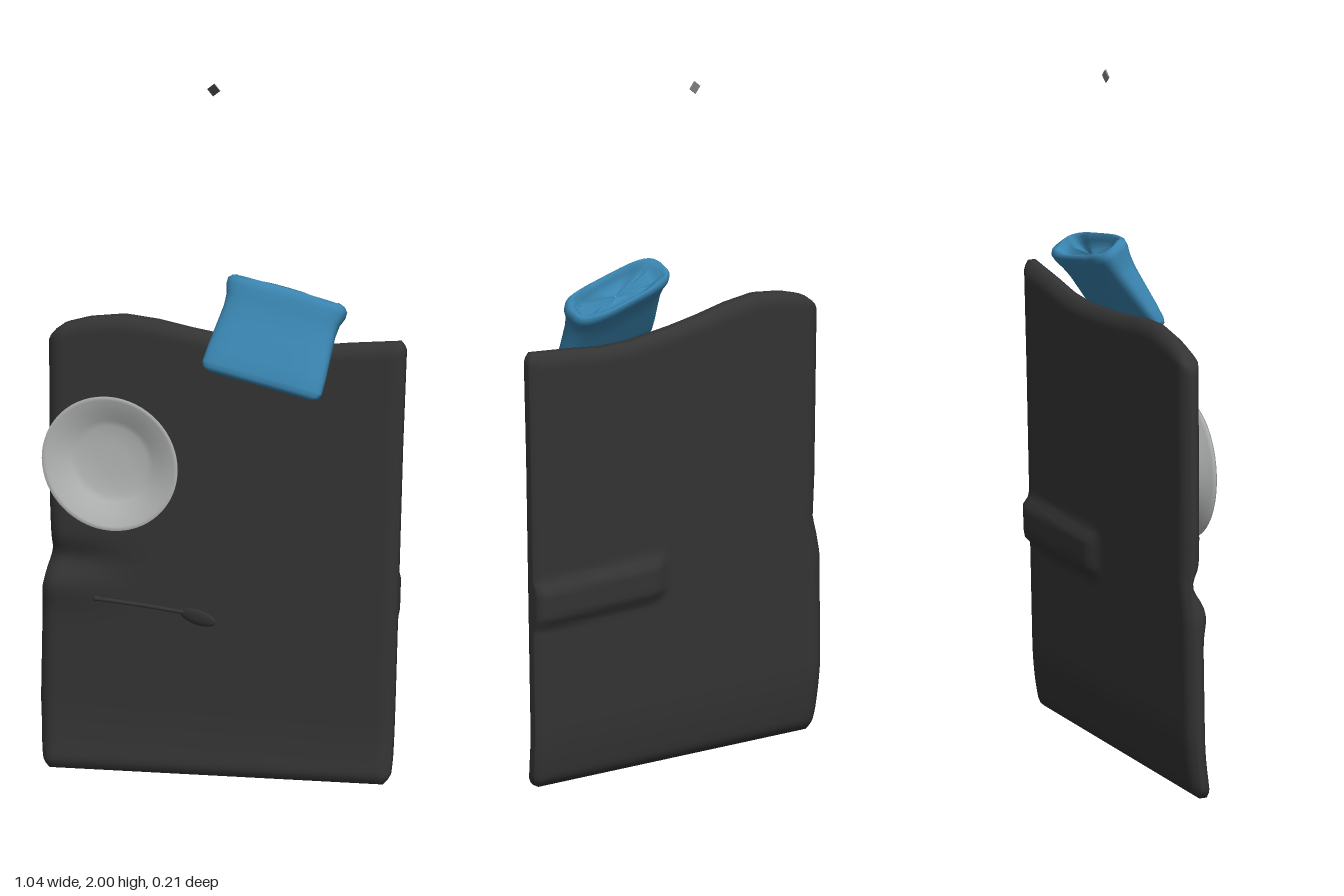
import * as THREE from 'three';
import { mergeVertices } from 'three/addons/utils/BufferGeometryUtils.js';

const { smoothstep, clamp, lerp } = THREE.MathUtils;
const bell = (d, w) => Math.exp(-(d * d) / (w * w));

// piecewise interpolation through [position, value] pairs
function along(table, t) {
  for (let i = 1; i < table.length; i++) {
    const [a, va] = table[i - 1], [b, vb] = table[i];
    if (t <= b) return lerp(va, vb, clamp((t - a) / (b - a), 0, 1));
  }
  return table[table.length - 1][1];
}

// weld and smooth a geometry
function smooth(geo) {
  geo.deleteAttribute('uv');
  geo.deleteAttribute('normal');
  const g = mergeVertices(geo, 1e-5);
  g.computeVertexNormals();
  return g;
}

// soft slab with wavy edges, a tuck on the front and a raised fold on the back
function matGeometry() {
  const topEdge = [[-0.5, 1.262], [-0.47, 1.285], [-0.4, 1.307], [-0.3, 1.322], [-0.2, 1.314], [-0.1, 1.297], [0, 1.284], [0.15, 1.272], [0.25, 1.275], [0.35, 1.29], [0.5, 1.308]];
  const leftEdge = [[0, -0.507], [0.06, -0.515], [0.2, -0.522], [0.52, -0.517], [0.58, -0.505], [0.63, -0.492], [0.75, -0.497], [1.3, -0.502]];
  const rightEdge = [[0, 0.478], [0.1, 0.486], [0.3, 0.492], [0.7, 0.503], [1, 0.511], [1.3, 0.522]];
  const geo = new THREE.BoxGeometry(1, 1, 1, 56, 80, 4);
  const p = geo.attributes.position;
  const dense = t => 0.75 * t + 0.125 * Math.sin(Math.PI * t); // finer rows near the edges
  for (let i = 0; i < p.count; i++) {
    const u = dense(p.getX(i)), v = dense(p.getY(i)), w = p.getZ(i);
    const bottom = lerp(0.004, 0.03, u + 0.5);
    const y = lerp(bottom, along(topEdge, u), v + 0.5);
    const dx = 0.5 - Math.abs(u), dy = (0.5 - Math.abs(v)) * 1.3;
    const corner = 0.016 * Math.max(0, 1 - dy / 0.03) ** 2;
    const x = lerp(along(leftEdge, y) + corner, along(rightEdge, y) - corner, u + 0.5);
    // thickness falls off toward the rim
    const rim = Math.max(0, 1 - Math.min(dx, dy) / 0.035);
    let z = w * 0.058 * (1 - 0.6 * rim * rim);
    z += -0.062 + 0.02 * x + 0.012 * (1 - y / 1.3) + 0.024 * Math.max(0, 1 - y / 0.22) ** 2;
    const leftFade = 1 - smoothstep(x, -0.5, -0.2);
    z += leftFade * (0.01 * bell(y - 0.53, 0.05) - 0.022 * bell(y - 0.61, 0.04)) * (w + 0.5);
    if (w < 0) {
      const fold = smoothstep(x, 0.03, 0.09) * (1 - smoothstep(Math.abs(y - 0.57), 0.04, 0.07));
      z += 2 * w * 0.02 * fold;
    }
    p.setXYZ(i, x, y, z);
  }
  return smooth(geo);
}

// pouch lofted from rounded sections: [height, half width, half depth]
function pouchGeometry() {
  const sections = [
    [-0.008, 0.001, 0.001], [-0.007, 0.15, 0.014], [0.0, 0.168, 0.023], [0.015, 0.174, 0.029],
    [0.06, 0.172, 0.035], [0.13, 0.166, 0.041], [0.18, 0.162, 0.046], [0.215, 0.164, 0.053],
    [0.24, 0.173, 0.059], [0.258, 0.173, 0.06], [0.268, 0.164, 0.054], [0.266, 0.154, 0.046],
    [0.25, 0.143, 0.038], [0.235, 0.125, 0.028], [0.232, 0.06, 0.012], [0.232, 0.001, 0.001],
  ];
  const n = 64, pos = [], index = [];
  sections.forEach(([h, hw, hd], r) => {
    for (let i = 0; i < n; i++) {
      const a = (i / n) * Math.PI * 2, c = Math.cos(a), s = Math.sin(a);
      const x = Math.sign(c) * Math.abs(c) ** 0.5 * hw;
      const ripple = r > 10 && r < 15 ? 0.006 * Math.sin(a * 5) : 0;
      pos.push(x, h + ripple, Math.sign(s) * Math.abs(s) ** 0.65 * hd);
      if (r < sections.length - 1) {
        const a0 = r * n + i, b0 = r * n + (i + 1) % n;
        index.push(a0, a0 + n, b0, b0, a0 + n, b0 + n);
      }
    }
  });
  const geo = new THREE.BufferGeometry();
  geo.setAttribute('position', new THREE.Float32BufferAttribute(pos, 3));
  geo.setIndex(index);
  geo.computeVertexNormals();
  return geo;
}

export function createModel() {
  const charcoal = new THREE.MeshStandardMaterial({ color: 0x343434 });
  const paleGrey = new THREE.MeshStandardMaterial({ color: 0xbcbdbd });
  const blue = new THREE.MeshStandardMaterial({ color: 0x3a86b2 });
  const midGrey = new THREE.MeshStandardMaterial({ color: 0x808080 });
  Object.entries({ charcoal, paleGrey, blue, midGrey }).forEach(([k, m]) => { m.name = k; });

  const model = new THREE.Group();
  model.name = 'picnicMat';
  const add = (parent, name, geo, mat) => {
    const mesh = new THREE.Mesh(geo, mat);
    mesh.name = name;
    parent.add(mesh);
    return mesh;
  };

  add(model, 'mat', matGeometry(), charcoal);

  // shallow plate facing forward
  const profile = [[0, -0.046], [0.1, -0.046], [0.115, -0.04], [0.15, -0.022], [0.185, -0.008], [0.196, -0.002],
    [0.196, 0.002], [0.185, 0.001], [0.15, -0.01], [0.12, -0.022], [0.1, -0.029], [0.05, -0.032], [0, -0.032]];
  const plate = add(model, 'plate', new THREE.LatheGeometry(profile.map(([r, y]) => new THREE.Vector2(r, y)), 64), paleGrey);
  plate.position.set(-0.312, 0.908, 0.004);
  plate.rotation.set(Math.PI / 2 + 0.03, 0, 0.04);

  // spoon lying on the mat, its bowl tipped forward
  const spoon = new THREE.Group();
  spoon.name = 'spoon';
  model.add(spoon);
  const path = new THREE.CatmullRomCurve3([[-0.36, 0.505, -0.022], [-0.28, 0.499, -0.024], [-0.2, 0.492, -0.026],
    [-0.14, 0.486, -0.025], [-0.1, 0.482, -0.026]].map(q => new THREE.Vector3(...q)));
  add(spoon, 'spoonHandle', new THREE.TubeGeometry(path, 24, 0.006, 8), charcoal);
  const tip = add(spoon, 'handleEnd', new THREE.SphereGeometry(0.008, 12, 8), charcoal);
  tip.position.set(-0.358, 0.505, -0.022);
  const bowl = add(spoon, 'spoonBowl', new THREE.SphereGeometry(1, 24, 16), charcoal);
  bowl.scale.set(0.062, 0.022, 0.008);
  bowl.position.set(-0.062, 0.477, -0.006);
  bowl.rotation.set(0, -0.42, -0.06, 'ZYX');

  // open-topped pouch leaning back over the top edge
  const pouch = add(model, 'pouch', pouchGeometry(), blue);
  pouch.position.set(0.138, 1.2, 0.079);
  pouch.rotation.set(-0.49, 0, -0.21, 'ZYX');

  // small loose square above
  const chip = add(model, 'smallSquare', new THREE.BoxGeometry(0.026, 0.026, 0.004),
    [midGrey, midGrey, midGrey, midGrey, charcoal, midGrey]);
  chip.position.set(-0.042, 1.982, -0.106);
  chip.rotation.z = 0.7;

  return model;
}
